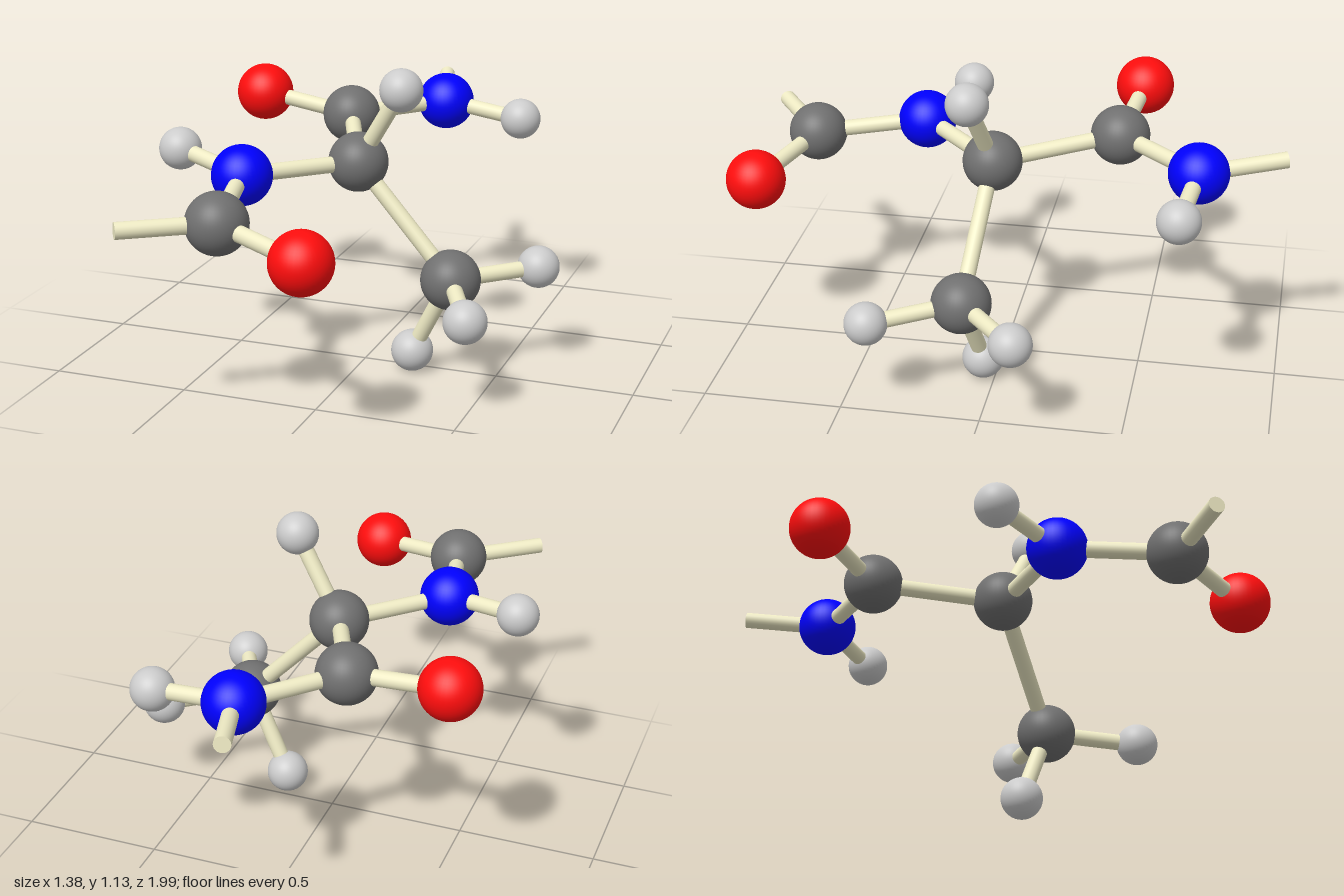
import * as THREE from 'three';

const material = (color) => new THREE.MeshStandardMaterial({ color });

export function createModel() {
  const model = new THREE.Group();
  model.name = 'molecule';

  // Elements: ball radius and colour
  const elements = {
    carbon: { radius: 0.107, mat: material(0x707070) },
    nitrogen: { radius: 0.107, mat: material(0x0000ff) },
    oxygen: { radius: 0.107, mat: material(0xff0d0d) },
    hydrogen: { radius: 0.076, mat: material(0xcccccc) },
  };
  const bondMat = material(0xeeeac4);

  // Atoms: element and position
  const atoms = {
    centralCarbon: ['carbon', -0.01, 0.765, 0.045],
    centralHydrogen: ['hydrogen', 0.168, 1.052, 0.1],
    backCarbon: ['carbon', -0.197, 0.818, -0.388],
    backOxygen: ['oxygen', -0.57, 0.862, -0.435],
    backNitrogen: ['nitrogen', 0.08, 0.82, -0.693],
    backHydrogen: ['hydrogen', 0.39, 0.785, -0.655],
    frontNitrogen: ['nitrogen', -0.325, 0.768, 0.35],
    frontHydrogen: ['hydrogen', -0.615, 0.805, 0.23],
    frontCarbon: ['carbon', -0.238, 0.725, 0.75],
    frontOxygen: ['oxygen', 0.112, 0.677, 0.888],
    methylCarbon: ['carbon', 0.352, 0.38, 0.09],
    methylHydrogenBack: ['hydrogen', 0.612, 0.388, -0.13],
    methylHydrogenFront: ['hydrogen', 0.5, 0.352, 0.396],
    methylHydrogenLower: ['hydrogen', 0.196, 0.076, 0.043],
  };
  // Free ends of the chain, without a ball
  const points = {
    backEnd: new THREE.Vector3(-0.01, 0.855, -0.99),
    frontEnd: new THREE.Vector3(-0.508, 0.73, 0.948),
  };

  for (const [name, [element, x, y, z]] of Object.entries(atoms)) {
    const { radius, mat } = elements[element];
    const ball = new THREE.Mesh(new THREE.SphereGeometry(radius, 40, 28), mat);
    ball.name = name;
    ball.position.set(x, y, z);
    points[name] = ball.position;
    model.add(ball);
  }

  // Bonds: round sticks between two points
  const bonds = [
    ['centralCarbon', 'centralHydrogen'],
    ['centralCarbon', 'backCarbon'],
    ['centralCarbon', 'frontNitrogen'],
    ['centralCarbon', 'methylCarbon'],
    ['backCarbon', 'backOxygen'],
    ['backCarbon', 'backNitrogen'],
    ['backNitrogen', 'backHydrogen'],
    ['backNitrogen', 'backEnd'],
    ['frontNitrogen', 'frontHydrogen'],
    ['frontNitrogen', 'frontCarbon'],
    ['frontCarbon', 'frontOxygen'],
    ['frontCarbon', 'frontEnd'],
    ['methylCarbon', 'methylHydrogenBack'],
    ['methylCarbon', 'methylHydrogenFront'],
    ['methylCarbon', 'methylHydrogenLower'],
  ];
  const up = new THREE.Vector3(0, 1, 0);
  for (const [from, to] of bonds) {
    const axis = points[to].clone().sub(points[from]);
    const stick = new THREE.Mesh(new THREE.CylinderGeometry(0.029, 0.029, axis.length(), 24), bondMat);
    stick.name = `bond ${from} to ${to}`;
    stick.position.copy(points[from]).addScaledVector(axis, 0.5);
    stick.quaternion.setFromUnitVectors(up, axis.normalize());
    model.add(stick);
  }
  return model;
}
